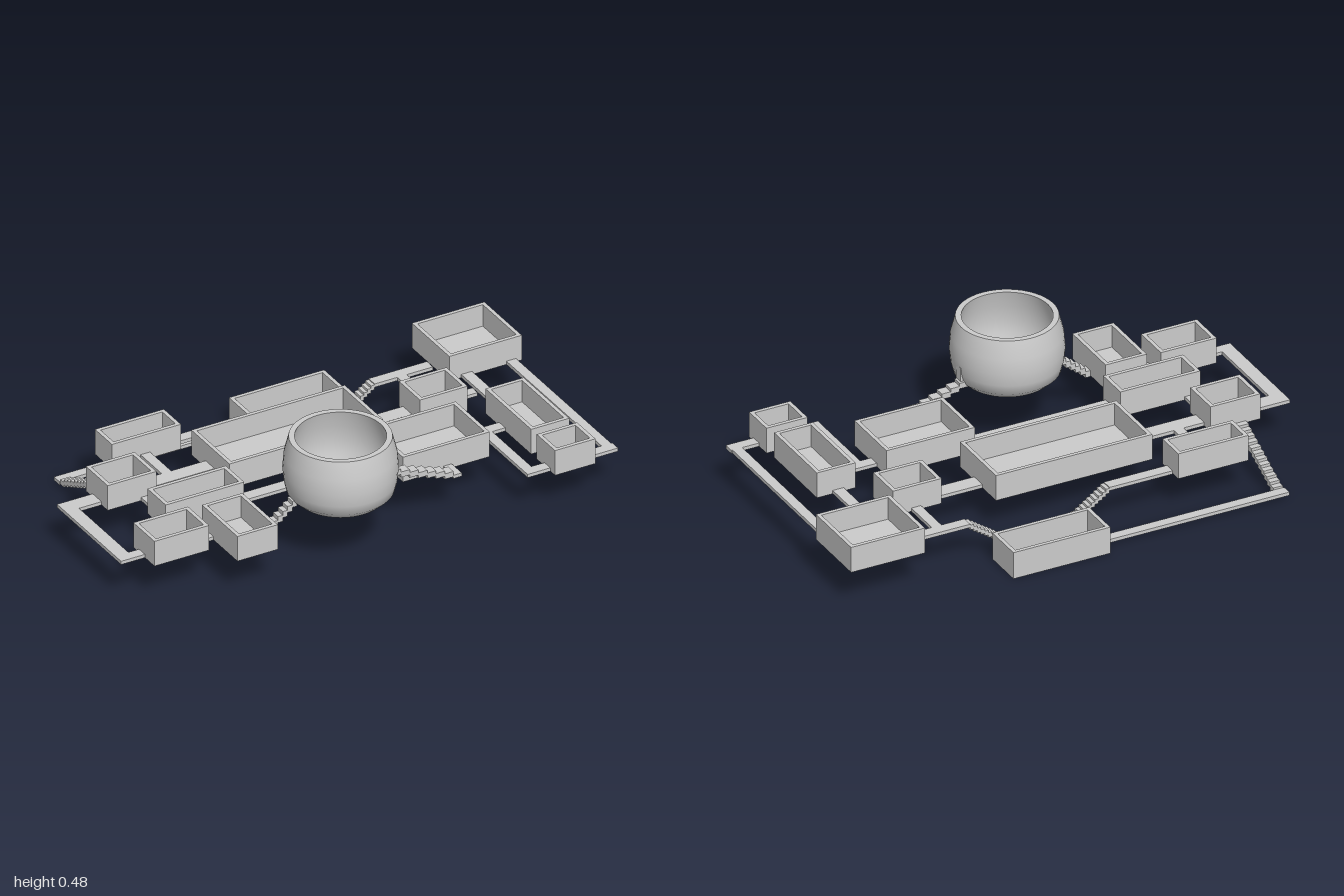
import * as THREE from 'three';
import { toCreasedNormals } from 'three/addons/utils/BufferGeometryUtils.js';

const mat = new THREE.MeshStandardMaterial({ color: 0xcccccc });
const HIGH = 0.152, MID = 0.137, LOW = 0.012, SLAB = 0.014;

export function createModel() {
  const root = new THREE.Group();

  const addBox = (name, x0, x1, y0, y1, z0, z1, parent = root) => {
    const m = new THREE.Mesh(new THREE.BoxGeometry(x1 - x0, y1 - y0, z1 - z0), mat);
    m.position.set((x0 + x1) / 2, (y0 + y1) / 2, (z0 + z1) / 2);
    m.name = name;
    parent.add(m);
  };

  // Open-topped room: rectangular walls with a hole, on a thin floor
  const addRoom = (name, x0, x1, z0, z1, y0 = HIGH, h = 0.105) => {
    const g = new THREE.Group();
    g.name = name;
    const t = 0.015;
    const rect = (C, a, b, c, d) => new C([[a, c], [b, c], [b, d], [a, d]].map(p => new THREE.Vector2(...p)));
    const shape = rect(THREE.Shape, x0, x1, -z1, -z0);
    shape.holes.push(rect(THREE.Path, x0 + t, x1 - t, -z1 + t, -z0 - t));
    const geo = new THREE.ExtrudeGeometry(shape, { depth: h, bevelEnabled: false });
    geo.rotateX(-Math.PI / 2);
    const walls = new THREE.Mesh(geo, mat);
    walls.position.y = y0;
    walls.name = name + 'Walls';
    g.add(walls);
    addBox(name + 'Floor', x0 + t, x1 - t, y0, y0 + SLAB, z0 + t, z1 - t, g);
    root.add(g);
  };

  // Flight of overlapping slabs; runs along x or z from (a, ya) to (b, yb)
  const addStairs = (name, axis, a, b, ya, yb, side0, side1, n) => {
    const g = new THREE.Group();
    g.name = name;
    const th = Math.abs(yb - ya) / n + 0.01;
    for (let i = 0; i < n; i++) {
      const p = a + (b - a) * i / n, q = a + (b - a) * (i + 1) / n;
      const lo = Math.min(p, q), hi = Math.max(p, q);
      const y = ya + (yb - ya) * (i + 0.5) / n;
      if (axis === 'x') addBox('step', lo, hi, y - th / 2, y + th / 2, side0, side1, g);
      else addBox('step', side0, side1, y - th / 2, y + th / 2, lo, hi, g);
    }
    root.add(g);
  };

  // Rooms: name, x range, z range, base height
  [
    ['sunkenRoom', -0.03, 0.37, -0.60, -0.435, 0, 0.11],
    ['backLeftRoom', 0.69, 0.995, -0.515, -0.24],
    ['backRightRoom', -0.68, -0.39, -0.45, -0.325, 0.14],
    ['rightHallRoom', -0.85, -0.645, -0.22, -0.06],
    ['mainHall', -0.375, 0.27, -0.275, 0.005, MID],
    ['leftHallRoom', 0.455, 0.655, -0.20, -0.045, MID],
    ['rightMiddleRoom', -0.735, -0.405, 0.03, 0.165],
    ['leftFrontHall', 0.185, 0.55, 0.05, 0.30],
    ['leftLongRoom', 0.69, 0.85, 0.025, 0.36],
    ['frontRightRoom', -0.90, -0.67, 0.215, 0.37],
    ['frontInnerRoom', -0.62, -0.45, 0.23, 0.49],
    ['frontLeftRoom', 0.69, 0.86, 0.40, 0.535],
  ].forEach(r => addRoom(...r));

  // Corridors: x range, z range, base height
  [
    [-1, -0.85, -0.17, -0.105, HIGH], [-1, -0.945, -0.105, 0.257, HIGH], [-1, -0.90, 0.257, 0.30, HIGH],
    [-0.645, -0.375, -0.17, -0.105, HIGH], [-0.56, -0.52, -0.325, -0.17, HIGH],
    [-0.71, -0.67, -0.06, 0.03, HIGH], [-0.405, 0.185, 0.095, 0.145, HIGH],
    [-0.56, -0.52, 0.165, 0.23, HIGH], [-0.67, -0.62, 0.27, 0.315, HIGH],
    [0.27, 0.455, -0.17, -0.105, MID], [0.655, 0.74, -0.16, -0.12, MID],
    [0.74, 0.785, -0.24, 0.025, HIGH],
    [0.93, 0.97, -0.24, 0.457, HIGH], [0.86, 0.975, 0.457, 0.50, HIGH],
    [0.55, 0.69, 0.125, 0.17, HIGH], [0.595, 0.635, 0.17, 0.457, HIGH], [0.595, 0.69, 0.457, 0.50, HIGH],
    [-0.39, -0.13, -0.405, -0.36, MID], [0.445, 0.69, -0.405, -0.36, MID],
    [0.54, 0.58, -0.36, -0.20, MID],
    [0.05, 0.265, -0.405, -0.36, LOW], [0.15, 0.18, -0.435, -0.405, LOW],
    [-0.795, -0.03, -0.55, -0.51, LOW],
    [0.355, 0.39, 0.30, 0.375, 0.155],
  ].forEach(([x0, x1, z0, z1, y]) => addBox('corridor', x0, x1, y, y + SLAB, z0, z1));

  // Stairs
  addStairs('sunkenStairsRight', 'x', -0.13, 0.05, 0.142, 0.018, -0.405, -0.36, 12);
  addStairs('sunkenStairsLeft', 'x', 0.445, 0.265, 0.142, 0.018, -0.405, -0.36, 12);
  addStairs('backStairs', 'z', -0.22, -0.51, 0.155, 0.018, -0.79, -0.75, 12);
  addStairs('arenaStairsLeft', 'x', 0.06, 0.355, 0.268, 0.168, 0.335, 0.375, 8);
  addStairs('arenaStairsRight', 'x', -0.45, -0.31, 0.152, 0.262, 0.35, 0.387, 7);

  // Round arena: thick-walled bowl
  const profile = [
    [0, 0.222], [0.15, 0.222], [0.166, 0.23], [0.198, 0.26], [0.208, 0.30], [0.213, 0.35], [0.208, 0.41],
    [0.19, 0.48], [0.168, 0.48], [0.186, 0.41], [0.19, 0.35], [0.186, 0.30], [0.168, 0.25], [0, 0.25],
  ].map(p => new THREE.Vector2(...p));
  const arena = new THREE.Mesh(toCreasedNormals(new THREE.LatheGeometry(profile, 48), 0.6), mat);
  arena.position.set(-0.122, 0, 0.378);
  arena.name = 'arena';
  root.add(arena);

  // Doorway at the top of the arena stairs
  addBox('arenaDoor', 0.07, 0.088, 0.265, 0.33, 0.345, 0.38);

  return root;
}
